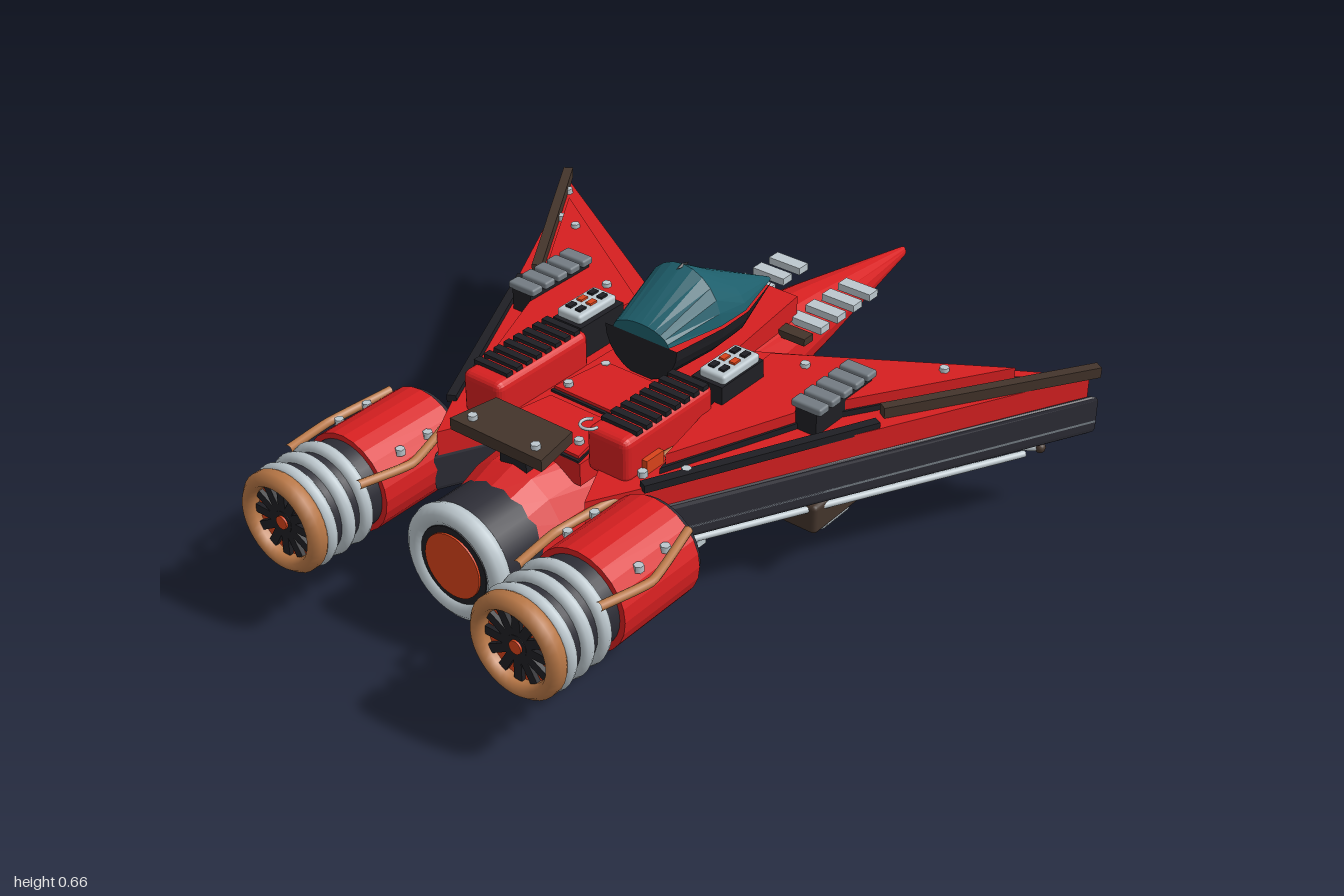
import * as THREE from 'three';
import { RoundedBoxGeometry } from 'three/addons/geometries/RoundedBoxGeometry.js';

const mat = (name, color, extra = {}) => Object.assign(new THREE.MeshStandardMaterial({ color, ...extra }), { name });

export function createModel() {
  const red = mat('red paint', 0xd61f20, { flatShading: true });
  const dark = mat('dark hull', 0x2c2c35);
  const black = mat('black trim', 0x1f1f24);
  const steel = mat('light steel', 0xbcc7cd);
  const brown = mat('dark brown', 0x43342b);
  const tan = mat('copper', 0xb87746);
  const teal = mat('teal glass', 0x1e5f6c, { flatShading: true });
  const orange = mat('orange glow', 0xd8431a);
  const gun = mat('gunmetal', 0x737b82);

  const root = new THREE.Group();
  const add = (name, geo, m, x = 0, y = 0, z = 0) => {
    const mesh = new THREE.Mesh(geo, m);
    mesh.name = name;
    mesh.position.set(x, y, z);
    root.add(mesh);
    return mesh;
  };
  const box = (name, m, w, h, d, x, y, z) => add(name, new THREE.BoxGeometry(w, h, d), m, x, y, z);
  const round = (name, m, w, h, d, x, y, z, r = 0.012) => add(name, new RoundedBoxGeometry(w, h, d, 2, r), m, x, y, z);

  // Horizontal plate from an outline of [x, z] points
  const plate = (name, m, pts, y0, y1, s = 1, hole = null, bevel = 0) => {
    const v = p => new THREE.Vector2(p[0] * s, -p[1]);
    const shape = new THREE.Shape(pts.map(v));
    if (hole) shape.holes.push(new THREE.Path(hole.map(v)));
    const geo = new THREE.ExtrudeGeometry(shape, {
      depth: y1 - y0 - 2 * bevel, bevelEnabled: bevel > 0, bevelThickness: bevel,
      bevelSize: bevel, bevelOffset: -bevel, bevelSegments: 2 });
    geo.rotateX(-Math.PI / 2);
    return add(name, geo, m, 0, y0 + bevel, 0);
  };
  // Cylinder along z between z0 and z1
  const drum = (name, m, r0, r1, z0, z1, x, y, n = 32) => {
    const geo = new THREE.CylinderGeometry(r1, r0, z1 - z0, n).rotateX(Math.PI / 2);
    return add(name, geo, m, x, y, (z0 + z1) / 2);
  };
  const ring = (name, m, r, t, x, y, z) => add(name, new THREE.TorusGeometry(r, t, 10, 36), m, x, y, z);
  const pipe = (name, m, pts, r) => add(name, new THREE.TubeGeometry(
    new THREE.CatmullRomCurve3(pts.map(p => new THREE.Vector3(...p)), false, 'catmullrom', 0.2), 20, r, 8), m);
  // Straight square bar between two points
  const bar = (name, m, p, q, w, h) => {
    const a = new THREE.Vector3(...p), b = new THREE.Vector3(...q);
    const mesh = add(name, new THREE.BoxGeometry(w, h, a.distanceTo(b)), m);
    mesh.position.copy(a).add(b).multiplyScalar(0.5);
    mesh.lookAt(b);
    return mesh;
  };
  const bolt = (x, y, z) => add('bolt', new THREE.CylinderGeometry(0.012, 0.012, 0.016, 6), steel, x, y, z);
  // Skin over elliptical sections [z, centreY, radiusX, radiusY] from angle a0 to a1
  const loft = (name, m, sections, n, a0, a1) => {
    const pos = [], pt = (s, j) => {
      const a = a0 + (a1 - a0) * j / n;
      return [s[2] * Math.cos(a), s[1] + s[3] * Math.sin(a), s[0]];
    };
    const tri = (...p) => p.forEach(q => pos.push(...q));
    const first = sections[0], last = sections[sections.length - 1];
    for (let j = 0; j < n; j++) {
      for (let i = 0; i + 1 < sections.length; i++) {
        const a = pt(sections[i], j), b = pt(sections[i], j + 1);
        const c = pt(sections[i + 1], j + 1), d = pt(sections[i + 1], j);
        tri(a, b, c); tri(a, c, d);
      }
      tri([0, first[1], first[0]], pt(first, j + 1), pt(first, j));
      tri([0, last[1], last[0]], pt(last, j), pt(last, j + 1));
    }
    const geo = new THREE.BufferGeometry();
    geo.setAttribute('position', new THREE.Float32BufferAttribute(pos, 3));
    geo.computeVertexNormals();
    return add(name, geo, m);
  };

  // Fuselage, needle nose and deck
  loft('fuselage', red, [[-1, 0.27, 0.01, 0.015], [-0.55, 0.273, 0.088, 0.088], [-0.15, 0.272, 0.148, 0.135],
    [0.3, 0.262, 0.185, 0.152], [0.6, 0.243, 0.155, 0.16], [0.7, 0.224, 0.138, 0.148]], 16, 0, Math.PI * 2);
  plate('deck', red, [[-0.135, 0.52], [0.135, 0.52], [0.13, 0.1], [0.07, -0.4], [-0.07, -0.4], [-0.13, 0.1]], 0.36, 0.42);
  plate('deckSeam', black, [[-0.12, 0.33], [0.12, 0.33], [0.098, 0.155], [-0.098, 0.155]], 0.42, 0.426);
  plate('frontDeckPanel', red, [[-0.115, 0.322], [0.115, 0.322], [0.093, 0.163], [-0.093, 0.163]], 0.42, 0.434);
  plate('rearDeckSeam', black, [[-0.13, 0.52], [0.13, 0.52], [0.1, 0.35], [-0.1, 0.35]], 0.42, 0.426);
  plate('rearDeckPanel', red, [[-0.125, 0.512], [0.125, 0.512], [0.095, 0.358], [-0.095, 0.358]], 0.42, 0.434);
  plate('rearHatch', brown, [[-0.138, 0.65], [0.138, 0.65], [0.115, 0.52], [-0.115, 0.52]], 0.47, 0.5);
  box('hatchSupport', black, 0.08, 0.09, 0.03, 0, 0.43, 0.58);

  // Canopy, tub and frame
  const glass = [[-0.37, 0.46, 0.006, 0.006], [-0.13, 0.515, 0.108, 0.075], [-0.02, 0.525, 0.118, 0.13], [0.14, 0.525, 0.085, 0.037]];
  loft('canopy', teal, glass, 12, 0, Math.PI);
  loft('cockpitTub', black, glass.map(([z, y], i) => [z, y, [0.012, 0.115, 0.128, 0.11][i], [0.006, 0.1, 0.11, 0.11][i]]), 12, Math.PI, Math.PI * 2);
  add('canopyCrest', new THREE.OctahedronGeometry(0.012).scale(0.6, 0.6, 2), black, 0, 0.65, -0.02);

  // Main thruster
  drum('mainThruster', dark, 0.142, 0.142, 0.645, 0.8, 0, 0.24);
  ring('mainThrusterRing', steel, 0.123, 0.027, 0, 0.24, 0.785);
  drum('mainThrusterRim', black, 0.1, 0.1, 0.79, 0.803, 0, 0.24);
  drum('mainThrusterGlow', orange, 0.083, 0.083, 0.79, 0.808, 0, 0.24);

  const wing = [[0.12, -0.14], [0.85, -0.57], [0.295, 0.5], [0.23, 0.62], [0.13, 0.42]];
  const upper = [[0.12, -0.13], [0.83, -0.55], [0.285, 0.5], [0.225, 0.61], [0.13, 0.42]];
  const recess = [[0.18, -0.13], [0.76, -0.47], [0.28, 0.44], [0.18, 0.42]];
  const seam = [[0.185, -0.1], [0.72, -0.425], [0.44, 0.02], [0.285, 0.42], [0.215, 0.1], [0.2, -0.09]];
  const inset = [[0.21, -0.098], [0.705, -0.408], [0.435, 0.017], [0.286, 0.4], [0.225, 0.1]];

  for (const s of [-1, 1]) {
    // Wing layers
    plate('lowerWing', dark, wing, 0.24, 0.345, s, recess, 0.012);
    plate('wingRecess', gun, wing, 0.256, 0.29, s, null, 0.014);
    plate('upperWing', red, upper, 0.34, 0.405, s);
    plate('wingSeam', black, seam, 0.405, 0.42, s);
    plate('wingPanel', red, inset, 0.405, 0.448, s);
    bar('wingEdgeStrip', brown, [s * 0.845, 0.42, -0.565], [s * 0.54, 0.42, -0.09], 0.026, 0.028);
    bar('wingEdgeTrim', black, [s * 0.555, 0.41, -0.05], [s * 0.292, 0.41, 0.49], 0.024, 0.02);
    for (const [x, z] of [[0.69, -0.36], [0.78, -0.49], [0.33, 0.38], [0.26, 0.45]]) bolt(s * x, 0.412, z);
    for (const [x, z] of [[0.31, -0.1], [0.58, -0.29]]) bolt(s * x, 0.451, z);
    // Wing cooling bars
    box('ventBase', black, 0.06, 0.06, 0.225, s * 0.44, 0.435, -0.035);
    for (let i = 0; i < 5; i++) round('coolingBar', gun, 0.085, 0.02, 0.038, s * 0.44, 0.472, -0.131 + i * 0.048, 0.006);
    // Underwing rods and pods
    pipe('underwingRod', steel, [[s * 0.2, 0.225, -0.08], [s * 0.77, 0.225, -0.45]], 0.01);
    pipe('underwingRod', steel, [[s * 0.3, 0.205, 0.4], [s * 0.74, 0.205, -0.43]], 0.009);
    add('rodTip', new THREE.SphereGeometry(0.014, 10, 8), brown, s * 0.77, 0.225, -0.45);
    round('underwingPod', brown, 0.1, 0.08, 0.25, s * 0.44, 0.18, -0.03);
    box('podMount', dark, 0.05, 0.09, 0.12, s * 0.44, 0.25, -0.03);
    drum('podLamp', steel, 0.036, 0.036, -0.07, 0.02, s * 0.44, 0.135, 16);

    // Intake housings with louvres
    round('intakeHousing', red, 0.12, 0.12, 0.32, s * 0.19, 0.45, 0.335, 0.02);
    for (let i = 0; i < 8; i++) box('louvre', black, 0.105, 0.012, 0.02, s * 0.195, 0.513, 0.205 + i * 0.034);
    box('sideMarker', orange, 0.03, 0.04, 0.06, s * 0.25, 0.42, 0.41);
    box('controlBase', black, 0.09, 0.1, 0.16, s * 0.215, 0.445, 0.08);
    round('controlBlock', steel, 0.075, 0.025, 0.14, s * 0.22, 0.505, 0.08, 0.008);
    for (let i = 0; i < 3; i++) for (const x of [0.205, 0.235])
      box('controlButton', i === 1 ? orange : black, 0.016, 0.006, 0.024, s * x, 0.52, 0.04 + i * 0.04);
    pipe('intakePipe', tan, [[s * 0.26, 0.42, 0.14], [s * 0.272, 0.42, 0.26], [s * 0.26, 0.42, 0.38]], 0.01);
    for (const z of [0.3, 0.47]) bolt(s * 0.09, 0.437, z);
    bolt(s * 0.085, 0.428, 0.17);
    bolt(s * 0.095, 0.504, 0.62);

    // Nose side fins
    for (let i = 0; i < 5; i++)
      box('noseFin', i === 4 ? brown : steel, 0.1, 0.02, 0.038, s * 0.112, 0.36, -0.612 + i * 0.072);

    // Wing engines
    const ex = s * 0.355, ey = 0.3;
    drum('engineShell', red, 0.128, 0.128, 0.525, 0.78, ex, ey, 24);
    drum('engineFrontCap', dark, 0.118, 0.126, 0.51, 0.527, ex, ey);
    drum('engineCore', dark, 0.113, 0.113, 0.77, 0.965, ex, ey);
    for (const z of [0.835, 0.89, 0.945]) ring('engineCoil', steel, 0.114, 0.018, ex, ey, z);
    const lip = [[0.09, 0.955], [0.12, 0.955], [0.128, 0.967], [0.128, 0.985], [0.115, 1], [0.098, 1], [0.09, 0.985], [0.09, 0.955]]
      .map(p => new THREE.Vector2(p[0], p[1]));
    add('exhaustLip', new THREE.LatheGeometry(lip, 36).rotateX(Math.PI / 2), tan, ex, ey, 0);
    drum('exhaustGlow', orange, 0.092, 0.092, 0.96, 0.97, ex, ey);
    for (let i = 0; i < 12; i++) {
      const a = i * Math.PI / 6;
      const blade = box('turbineBlade', black, 0.066, 0.022, 0.012, ex + Math.cos(a) * 0.057, ey + Math.sin(a) * 0.057, 0.975);
      blade.rotation.z = a;
    }
    drum('turbineHubRing', black, 0.028, 0.028, 0.965, 0.982, ex, ey, 16);
    drum('turbineHub', orange, 0.017, 0.017, 0.965, 0.987, ex, ey, 16);
    for (const t of [-1, 1]) {
      pipe('enginePipe', tan, [[ex + t * 0.1, 0.39, 0.53], [ex + t * 0.138, 0.37, 0.7], [ex + t * 0.115, 0.38, 0.85]], 0.011);
      for (const z of [0.61, 0.7]) bolt(ex + t * 0.1, 0.387, z);
    }

    // Belly pipes, skids and crossbars
    pipe('bellyPipe', tan, [[s * 0.172, 0.155, 0.55], [s * 0.16, 0.06, 0.17], [s * 0.115, 0.09, -0.3]], 0.014);
    round('skid', black, 0.055, 0.065, 0.44, s * 0.14, 0.052, 0.34);
    for (let i = 0; i < 4; i++) box('crossbar', steel, 0.13, 0.02, 0.036, s * 0.145, 0.036, 0.17 - i * 0.08);
    box('bellyLamp', steel, 0.05, 0.04, 0.08, s * 0.06, 0.115, -0.03);
  }

  // Keel blade and pylons
  plate('keelBlade', brown, [[-0.07, 0.56], [0.07, 0.56], [0.07, -0.3], [0.012, -0.69], [-0.012, -0.69], [-0.07, -0.3]], 0, 0.024, 1, null, 0.005);
  box('keelPylon', dark, 0.08, 0.14, 0.09, 0, 0.09, -0.11);
  box('keelPylon', dark, 0.08, 0.09, 0.1, 0, 0.06, 0.45);
  // Deck hook
  add('deckHook', new THREE.TorusGeometry(0.022, 0.004, 6, 16, Math.PI * 1.4).rotateX(Math.PI / 2), steel, 0.15, 0.525, 0.5);

  return root;
}
